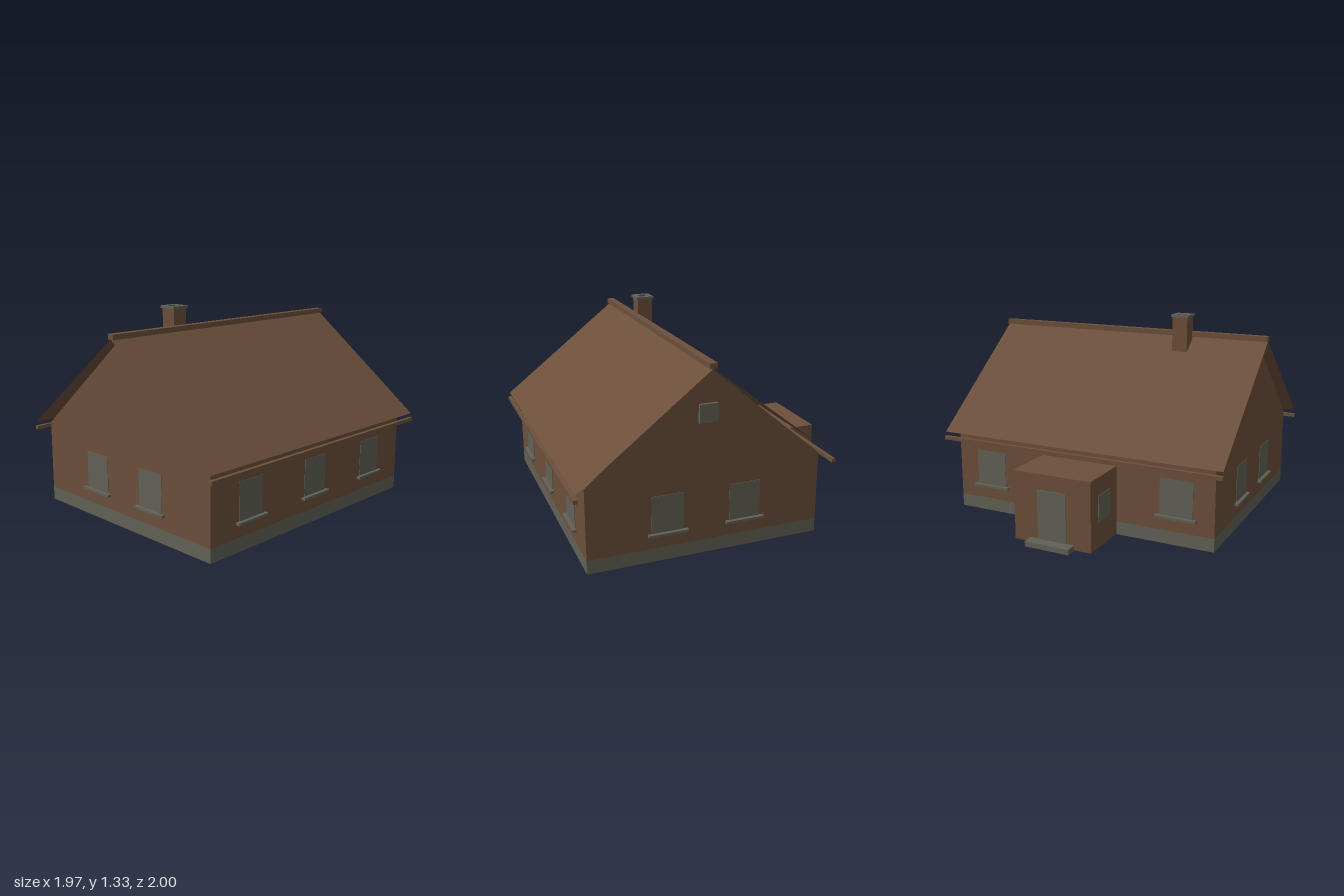
import * as THREE from 'three';

export function createModel() {
  const house = new THREE.Group();
  house.name = 'house';
  const brown = new THREE.MeshStandardMaterial({ color: 0x6b4f3b, side: THREE.DoubleSide });
  brown.name = 'brown timber';
  const grey = new THREE.MeshStandardMaterial({ color: 0x626156, side: THREE.DoubleSide });
  grey.name = 'warm grey';

  const add = (name, geometry, material, parent = house) => {
    const mesh = new THREE.Mesh(geometry, material);
    mesh.name = name;
    parent.add(mesh);
    return mesh;
  };
  // Box given by its limits; hollow boxes have no underside
  const box = (name, [x0, x1], [y0, y1], [z0, z1], material, parent = house, hollow = false) => {
    const g = new THREE.BoxGeometry(x1 - x0, y1 - y0, z1 - z0);
    if (hollow) {
      const index = Array.from(g.index.array);
      index.splice(18, 6);
      g.setIndex(index);
      g.clearGroups();
    }
    g.translate((x0 + x1) / 2, (y0 + y1) / 2, (z0 + z1) / 2);
    return add(name, g, material, parent);
  };

  const W = 0.92, FRONT = 0.92, BACK = -0.582, BASE = 0.087, EAVE = 0.54;
  const RIDGE_Z = 0.167;

  // Plinth, whose top is the floor
  box('plinth', [-W, W], [0, BASE], [BACK, FRONT], grey, house, true);

  // Long walls
  for (const [name, z, turn] of [['frontWall', FRONT, 0], ['backWall', BACK, Math.PI]]) {
    const wall = add(name, new THREE.PlaneGeometry(2 * W, EAVE - BASE), brown);
    wall.position.set(0, (EAVE + BASE) / 2, z);
    wall.rotation.y = turn;
  }

  // Gable walls
  for (const side of [1, -1]) {
    const outline = [[FRONT, BASE], [FRONT, EAVE], [RIDGE_Z, 1.17], [BACK, EAVE], [BACK, BASE]]
      .map(([z, y]) => new THREE.Vector2(-z * side, y));
    const gable = add(side > 0 ? 'leftGable' : 'rightGable',
      new THREE.ShapeGeometry(new THREE.Shape(outline)), brown);
    gable.rotation.y = side * Math.PI / 2;
    gable.position.x = side * W;
  }

  // Roof slopes and gutters
  const RUN = 0.82, RISE = 0.64, ROOF = 1.974;
  for (const side of [1, -1]) {
    const half = new THREE.Group();
    half.name = side > 0 ? 'frontRoof' : 'backRoof';
    half.position.z = RIDGE_Z;
    half.rotation.y = side > 0 ? 0 : Math.PI;
    house.add(half);
    const slope = add('roofSlope', new THREE.PlaneGeometry(ROOF, Math.hypot(RUN, RISE)), brown, half);
    slope.rotation.x = -Math.atan2(RUN, RISE);
    slope.position.set(0, EAVE + RISE / 2, RUN / 2);
    box('gutter', [-ROOF / 2, ROOF / 2], [0.488, 0.512], [0.808, 0.832], brown, half);
  }
  box('ridgeCap', [-ROOF / 2, ROOF / 2], [1.177, 1.21], [0.143, 0.191], brown);

  // Chimney with a hollow cap
  box('chimney', [-0.474, -0.37], [0.98, 1.314], [0.048, 0.152], brown);
  const square = (r) => [[-r, -r], [r, -r], [r, r], [-r, r]].map(([x, y]) => new THREE.Vector2(x, y));
  const capShape = new THREE.Shape(square(0.061));
  capShape.holes.push(new THREE.Path(square(0.03)));
  const cap = add('chimneyCap', new THREE.ExtrudeGeometry(capShape, { depth: 0.016, bevelEnabled: false }), grey);
  cap.rotation.x = -Math.PI / 2;
  cap.position.set(-0.422, 1.314, 0.1);
  box('flue', [-0.452, -0.392], [1.313, 1.316], [0.07, 0.13], grey);

  // Windows: thin pane with a sill, built facing +z
  const addWindow = (x, z, turn, width = 0.202) => {
    const win = new THREE.Group();
    win.name = 'window';
    const w = width / 2;
    box('pane', [-w, w], [0.185, 0.423], [-0.002, 0.003], grey, win);
    box('sill', [-w - 0.025, w + 0.025], [0.17, 0.186], [-0.005, 0.025], grey, win);
    win.position.set(x, 0, z);
    win.rotation.y = turn;
    house.add(win);
  };
  for (const x of [-0.59, 0, 0.585]) addWindow(x, FRONT, 0);
  for (const x of [-0.67, 0.67]) addWindow(x, BACK, Math.PI, 0.22);
  for (const z of [-0.08, 0.42]) {
    addWindow(W, z, Math.PI / 2);
    addWindow(-W, z, -Math.PI / 2);
  }
  box('atticWindow', [W - 0.005, W + 0.018], [0.842, 0.957], [0.113, 0.228], grey);

  // Porch with side windows, door and doorstep
  box('porch', [-0.267, 0.267], [0.003, 0.453], [-0.925, BACK], brown, house, true);
  for (const side of [1, -1]) {
    const x = side * 0.268;
    box('porchWindow', [x - 0.003, x + 0.003], [0.168, 0.338], [-0.829, -0.674], grey);
  }
  box('door', [-0.1, 0.1], [0.03, 0.352], [-0.931, -0.924], grey);
  box('doorstep', [-0.152, 0.152], [0, 0.034], [-1, -0.925], grey, house, true);

  return house;
}
